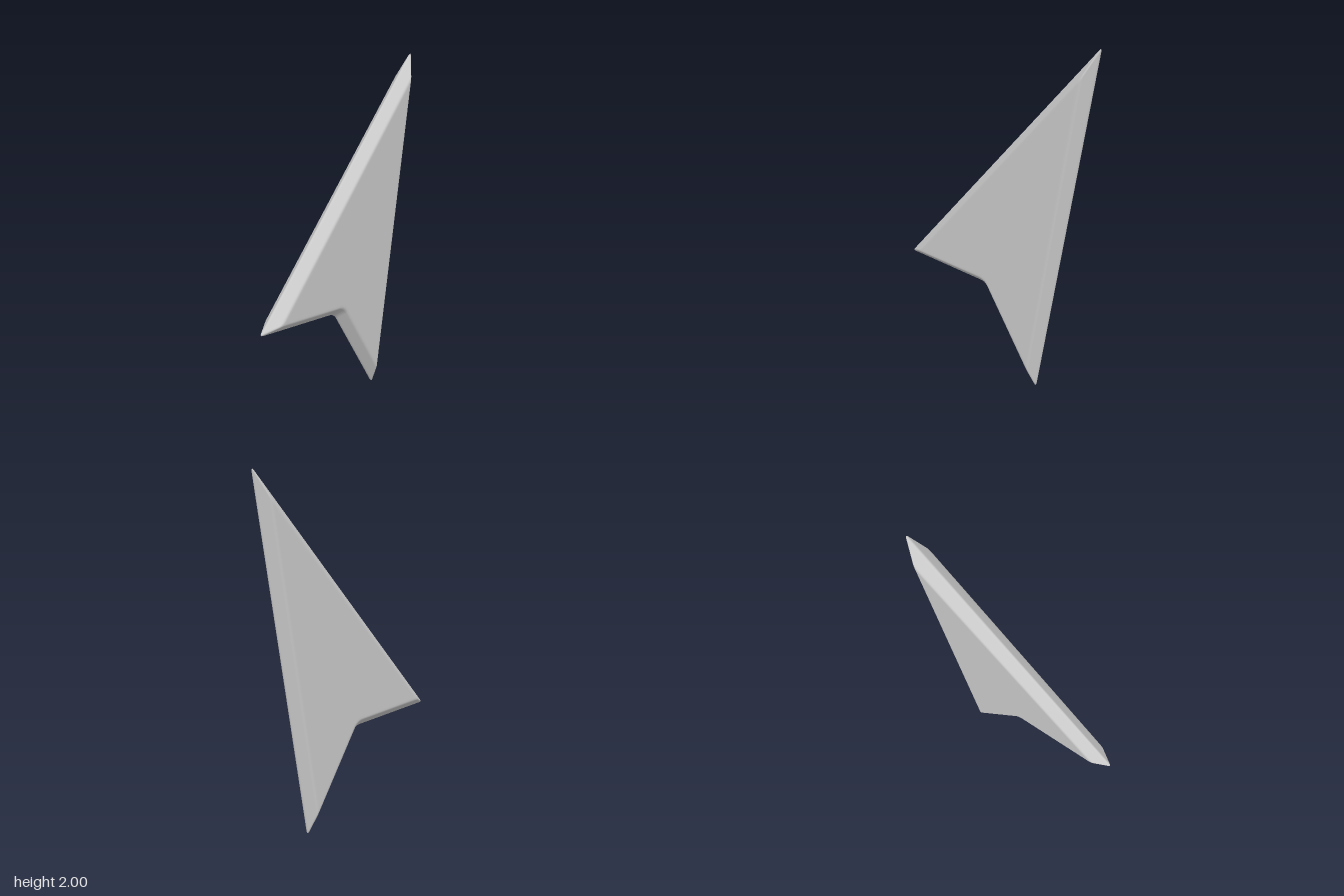
import * as THREE from 'three';

// Sharp outline corners, counter-clockwise, and how far each one is rounded
const corners = [[0.664, 2.009], [-0.67, 0.609], [-0.062, 0.557], [0.308, -0.009]]
  .map(([x, y]) => new THREE.Vector2(x, y));
const rounding = [0.02, 0.02, 0.045, 0.02];
const STEPS = 6;

// Bevel section on the front half: [inset from the outline, z]
const bevel = [[0, 0], [0.0015, 0.005], [0.006, 0.011], [0.04, 0.053],
  [0.045, 0.058], [0.051, 0.061], [0.058, 0.062], [0.07, 0.062]];

// Outline moved inward by d, with every corner rounded by a small curve
function outline(d) {
  const n = corners.length;
  const dir = i => corners[(i + 1) % n].clone().sub(corners[i]).normalize();
  const moved = corners.map((p, i) => {
    const a = dir((i + n - 1) % n), b = dir(i);
    const na = new THREE.Vector2(-a.y, a.x), nb = new THREE.Vector2(-b.y, b.x);
    return p.clone().addScaledVector(na.clone().add(nb), d / (1 + na.dot(nb)));
  });
  return moved.flatMap((p, i) => new THREE.QuadraticBezierCurve(
    p.clone().addScaledVector(dir((i + n - 1) % n), -rounding[i]),
    p,
    p.clone().addScaledVector(dir(i), rounding[i])
  ).getPoints(STEPS));
}

function arrowheadGeometry() {
  // Rings run from the back face, around the ridge, to the front face
  const section = [...bevel.slice(1).reverse().map(([d, z]) => [d, -z]), ...bevel];
  const rings = section.map(([d]) => outline(d));
  const n = rings[0].length, last = (rings.length - 1) * n;
  const pos = [], index = [];
  rings.forEach((ring, k) => ring.forEach(p => pos.push(p.x, p.y, section[k][1])));
  for (let k = 0; k < rings.length - 1; k++) {
    for (let i = 0; i < n; i++) {
      const j = (i + 1) % n, a = k * n + i, b = k * n + j;
      index.push(a, b, b + n, a, b + n, a + n);
    }
  }
  // Flat back and front faces
  for (const [a, b, c] of THREE.ShapeUtils.triangulateShape(rings[0], [])) {
    index.push(a, c, b, last + a, last + b, last + c);
  }
  const geo = new THREE.BufferGeometry();
  geo.setAttribute('position', new THREE.Float32BufferAttribute(pos, 3));
  geo.setIndex(index);
  geo.computeVertexNormals();
  return geo;
}

export function createModel() {
  const group = new THREE.Group();
  const arrowhead = new THREE.Mesh(arrowheadGeometry(),
    new THREE.MeshStandardMaterial({ color: 0xcccccc }));
  arrowhead.name = 'arrowhead';
  group.add(arrowhead);
  return group;
}
